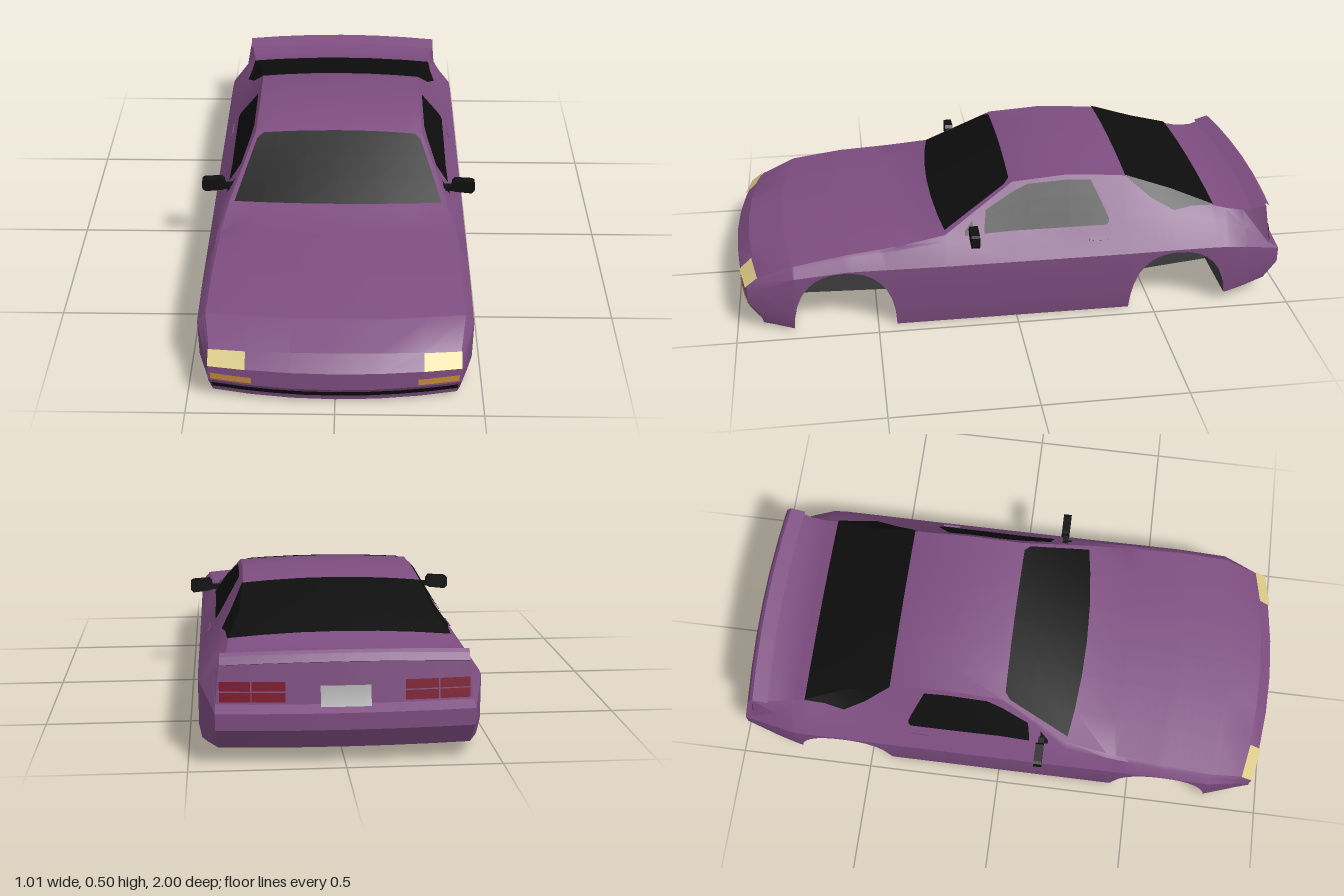
import * as THREE from 'three';
import { toCreasedNormals } from 'three/addons/utils/BufferGeometryUtils.js';

const mat = (name, color, side = THREE.FrontSide) => {
  const m = new THREE.MeshStandardMaterial({ color, side });
  m.name = name;
  return m;
};
const lerp = (a, b, t) => a + (b - a) * t;

// Stations: z, centre bow, widest x, widest y, lower y, belt x, belt y, top edge x, top edge y, centre y
const STATIONS = [
  [0.955, 0.045, 0.42, 0.115, 0.05, 0.42, 0.165, 0.418, 0.176, 0.186],
  [0.91, 0.045, 0.432, 0.17, 0.06, 0.425, 0.2, 0.418, 0.212, 0.236],
  [0.79, 0.042, 0.467, 0.225, 0.08, 0.447, 0.25, 0.437, 0.26, 0.275],
  [0.6, 0.04, 0.467, 0.24, 0.08, 0.442, 0.28, 0.43, 0.289, 0.307],
  [0.4, 0.038, 0.467, 0.238, 0.08, 0.432, 0.297, 0.417, 0.306, 0.33],
  [0.25, 0.035, 0.467, 0.236, 0.08, 0.42, 0.31, 0.4, 0.326, 0.341],
  [0, -0.005, 0.467, 0.236, 0.08, 0.4, 0.333, 0.312, 0.476, 0.488],
  [-0.2, 0, 0.467, 0.236, 0.08, 0.4, 0.335, 0.308, 0.49, 0.505],
  [-0.4, 0, 0.467, 0.236, 0.08, 0.4, 0.335, 0.31, 0.475, 0.49],
  [-0.58, 0, 0.467, 0.238, 0.08, 0.395, 0.343, 0.325, 0.412, 0.43],
  [-0.73, 0, 0.467, 0.238, 0.08, 0.405, 0.325, 0.365, 0.358, 0.375],
  [-0.78, 0, 0.465, 0.235, 0.085, 0.408, 0.31, 0.37, 0.345, 0.357],
  [-0.85, -0.008, 0.447, 0.22, 0.1, 0.41, 0.28, 0.38, 0.338, 0.346],
  [-0.945, -0.02, 0.412, 0.185, 0.13, 0.41, 0.205, 0.395, 0.355, 0.368],
];
const FRONT = 0.955, REAR = -0.945;
const US = [0, 0.35, 0.7, 1];
const ARCHES = [{ z: 0.615, r: 0.182, h: 0.235 }, { z: -0.592, r: 0.178, h: 0.228 }];
const WELL_X = 0.21;

// Piecewise linear lookup in [key, ...values] rows, keys descending
function lookup(table, key) {
  let i = 0;
  while (i < table.length - 2 && key < table[i + 1][0]) i++;
  const t = THREE.MathUtils.clamp((key - table[i][0]) / (table[i + 1][0] - table[i][0]), 0, 1);
  return table[i].map((v, j) => lerp(v, table[i + 1][j], t));
}
const floorY = z => lookup([[0.955, 0.026], [0.8, 0.016], [0.43, 0.004], [-0.42, 0.004], [-0.95, 0.06]], z)[1];
const noseShift = y => lookup([[0.115, 0], [0.05, -0.045], [0.02, -0.05]], y)[1];
const tailShift = y => lookup([[0.36, 0.022], [0.25, 0.002], [0.205, 0], [0.185, -0.035], [0.13, -0.035], [0.05, 0.015]], y)[1];

function bottomY(z) {
  const arch = ARCHES.find(a => Math.abs(z - a.z) < a.r);
  const rise = arch ? arch.h * (1 - Math.abs((z - arch.z) / arch.r) ** 2.4) ** (1 / 2.4) : 0;
  return Math.max(floorY(z), rise);
}

// Half cross-section: four points over the top, then belt, widest, lower and bottom
function section(z) {
  const [, dz, wx, wy, low, bx, by, tx, ty, cy] = lookup(STATIONS, z);
  const bot = bottomY(z);
  const lowY = Math.max(low, bot);
  const pts = US.map(u => [u * tx, lerp(cy, ty, u * u), dz * (1 - u * u)]);
  pts.push([bx, by, 0], [wx, Math.max(wy, lowY + 0.002), 0], [wx, lowY, 0],
    [wx - 0.017 * Math.max(0, 1 - bot / low), bot, 0]);
  const f = Math.max(0, (z - 0.8) / (FRONT - 0.8)), r = Math.max(0, (-0.78 - z) / (-0.78 - REAR));
  return pts.map(([x, y, d]) => [x, y, z + d + f * noseShift(y) + r * tailShift(y)]);
}
const mirrorX = ([x, y, z]) => [-x, y, z];

// Point on the skin; negative k is the right side
function skin(z, k) {
  const s = section(z), a = Math.abs(k), i = Math.min(Math.floor(a), s.length - 2);
  const p = s[i].map((v, j) => lerp(v, s[i + 1][j], a - i));
  return k < 0 ? mirrorX(p) : p;
}

// Point on the front or rear face
function endPoint(zEnd, x, y) {
  const side = section(zEnd).slice(3).map(([px, py, pz]) => [py, px, pz]);
  const [, w, z] = lookup(side, y);
  return [x, y, z + lookup(STATIONS, zEnd)[1] * (1 - (x / w) ** 2)];
}

// Surface through rows of points; it faces (column direction) x (row direction)
function grid(rows) {
  const n = rows[0].length, index = [];
  for (let i = 0; i < rows.length - 1; i++) for (let j = 0; j < n - 1; j++) {
    const a = i * n + j, b = a + n;
    index.push(a, a + 1, b + 1, a, b + 1, b);
  }
  const g = new THREE.BufferGeometry();
  g.setAttribute('position', new THREE.Float32BufferAttribute(rows.flat(2), 3));
  g.setIndex(index);
  return toCreasedNormals(g, 0.45);
}

export function createModel() {
  const paint = mat('purple paint', 0x7d4d80);
  const glass = mat('black glass', 0x0d0d0d, THREE.DoubleSide);
  const trim = mat('black trim', 0x101010, THREE.DoubleSide);
  const under = mat('underbody black', 0x1e1e1e, THREE.DoubleSide);
  const well = mat('wheel well grey', 0x3c3c3c, THREE.DoubleSide);
  const lamp = mat('pale lamp', 0xdccb88, THREE.DoubleSide);
  const amber = mat('amber lamp', 0xc4893a, THREE.DoubleSide);
  const red = mat('red lamp', 0x7a1029, THREE.DoubleSide);
  const plate = mat('plate grey', 0xb0b0b0, THREE.DoubleSide);

  const car = new THREE.Group();
  car.name = 'carBody';
  const add = (name, geo, material, parent = car) => {
    const m = new THREE.Mesh(geo, material);
    m.name = name;
    parent.add(m);
    return m;
  };

  // Body shell with arches cut into its lower edge
  const archZ = a => Array.from({ length: 17 }, (_, i) => a.z + a.r * Math.cos(i / 16 * Math.PI));
  const zs = [...STATIONS.map(s => s[0]), ...ARCHES.flatMap(archZ)].sort((a, b) => b - a);
  add('bodyShell', grid(zs.map(z => {
    const s = section(z);
    return [...s.slice(1).reverse().map(mirrorX), ...s];
  })), paint);

  // Nose and tail faces
  const us = [-1, -0.7, -0.35, 0, 0.35, 0.7, 1];
  for (const [name, z, dir] of [['noseFace', FRONT, 1], ['tailFace', REAR, -1]]) {
    const s = section(z), bow = lookup(STATIONS, z)[1];
    const rows = s.slice(4).reverse().map(p => us.map(u => [u * p[0] * dir, p[1], p[2] + bow * (1 - u * u)]));
    const top = [...s.slice(1, 4).reverse().map(mirrorX), ...s.slice(0, 4)];
    rows.push(dir > 0 ? top : top.reverse());
    add(name, grid(rows), paint);
  }

  // Floor, narrowed between the wheel wells
  const floor = new THREE.Group();
  floor.name = 'underbody';
  car.add(floor);
  for (let i = 0; i < zs.length - 1; i++) {
    if (zs[i] - zs[i + 1] < 1e-5) continue;
    const mid = (zs[i] + zs[i + 1]) / 2;
    const inArch = ARCHES.some(a => Math.abs(mid - a.z) < a.r);
    add('floorPanel', grid([zs[i], zs[i + 1]].map(z => {
      const p = section(z)[7], x = inArch ? WELL_X : p[0];
      return [[x, floorY(z), p[2]], [-x, floorY(z), p[2]]];
    })), under, floor);
  }

  // Wheel wells
  for (const a of ARCHES) for (const side of [1, -1]) {
    const flip = p => (side < 0 ? mirrorX(p) : p);
    const edge = archZ(a).map(z => section(z)[7]);
    add('wheelWellRoof', grid(edge.map(p => [flip(p), flip([WELL_X, p[1], p[2]])])), well);
    add('wheelWellWall', grid(edge.map(p => [flip([WELL_X, p[1], p[2]]), flip([WELL_X, floorY(p[2]), p[2]])])), well);
  }

  // Windshield and wraparound rear glass
  const lift = (p, d, dz) => [p[0] + Math.sign(p[0]) * d * 0.4, p[1] + d, p[2] + dz];
  add('windshield', grid([0.244, 0.17, 0.09, 0.025, 0.006].map((z, i) => {
    const k = i === 4 ? 2.65 : 2.83;
    return [-k, -2, -1, 0, 1, 2, k].map(c => lift(skin(z, c), 0.004, 0.003));
  })), glass);
  const rearEdge = [[-0.41, 3.02], [-0.5, 3.45], [-0.58, 3.85], [-0.65, 3.5], [-0.73, 3.05]];
  add('rearGlass', grid(rearEdge.map(([z, k]) =>
    [-k, -3, -2, -1, 0, 1, 2, 3, k].map(c => lift(skin(z, c), 0.005, -0.002)))), glass);

  // Side glass and handles
  const sideX = (z, y) => lookup(section(z).slice(3, 6).map(p => [p[1], p[0]]), y)[1];
  const sideGlass = (name, cols, side) => add(name, grid(cols.map(([z, y0, y1]) =>
    [0, 0.33, 0.67, 1].map(t => {
      const y = lerp(y0, y1, t);
      return [side * (sideX(z, y) + 0.005), y, z];
    }))), glass);
  for (const side of [1, -1]) {
    sideGlass('sideWindow', [[0.11, 0.328, 0.34], [0.1, 0.328, 0.398], [0, 0.33, 0.448], [-0.055, 0.33, 0.469],
      [-0.2, 0.33, 0.476], [-0.285, 0.33, 0.47], [-0.33, 0.33, 0.375], [-0.34, 0.338, 0.35]], side);
    sideGlass('quarterWindow', [[0.18, 0.325, 0.338], [0.15, 0.325, 0.368]], side);
    const handle = add('doorHandle', new THREE.BoxGeometry(0.008, 0.016, 0.065), paint);
    handle.position.set(side * (sideX(-0.297, 0.29) + 0.002), 0.29, -0.297);
    handle.rotation.z = side * 0.6;
  }

  // Door mirrors
  for (const side of [1, -1]) {
    const mirror = new THREE.Group();
    mirror.name = 'doorMirror';
    const outline = new THREE.Shape([[0.42, 0.333], [0.432, 0.325], [0.495, 0.318], [0.506, 0.33], [0.505, 0.362],
      [0.495, 0.368], [0.432, 0.372], [0.423, 0.36]].map(([x, y]) => new THREE.Vector2(x * side, y)));
    add('mirrorHead', new THREE.ExtrudeGeometry(outline, { depth: 0.03, bevelEnabled: false }), trim, mirror)
      .position.z = 0.137;
    add('mirrorArm', new THREE.BoxGeometry(0.05, 0.018, 0.022), trim, mirror).position.set(side * 0.407, 0.337, 0.155);
    car.add(mirror);
  }

  // Lamps, intake and plate laid on the nose and tail
  const endPatch = (name, zEnd, x0, x1, y0, y1, material, out = 0.004) => {
    const dir = Math.sign(zEnd);
    return add(name, grid([y0, lerp(y0, y1, 0.5), y1].map(y => Array.from({ length: 9 }, (_, i) => {
      const p = endPoint(zEnd, lerp(x0, x1, i / 8) * dir, y);
      return [p[0], p[1], p[2] + dir * out];
    }))), material);
  };
  for (const side of [1, -1]) {
    add('headlamp', grid([0.957, 0.912].map(z => [2, 2.5, 3].map(k => lift(skin(z, side * k), 0.004, 0.003)))), lamp);
    endPatch('indicator', FRONT, side * 0.275, side * 0.412, 0.127, 0.152, amber);
    for (const [y0, y1] of [[0.213, 0.243], [0.247, 0.277]])
      for (const [x0, x1] of [[0.19, 0.296], [0.3, 0.398]])
        endPatch('tailLamp', REAR, side * x0, side * x1, y0, y1, red);
  }
  endPatch('lowerIntake', FRONT, -0.412, 0.412, 0.052, 0.101, trim);
  endPatch('numberPlate', REAR, -0.08, 0.08, 0.2, 0.265, plate, 0.008);

  // Spoiler lip following the bowed tail
  const lip = [[0.327, -0.93], [0.333, -0.947], [0.357, -0.935], [0.366, -0.923], [0.35, -0.87]];
  add('spoilerLip', grid(lip.map(([y, z]) => us.map(u =>
    [-u * 0.395, y + 0.01 * (1 - u * u), z - 0.018 * (1 - u * u)]))), paint);

  return car;
}
